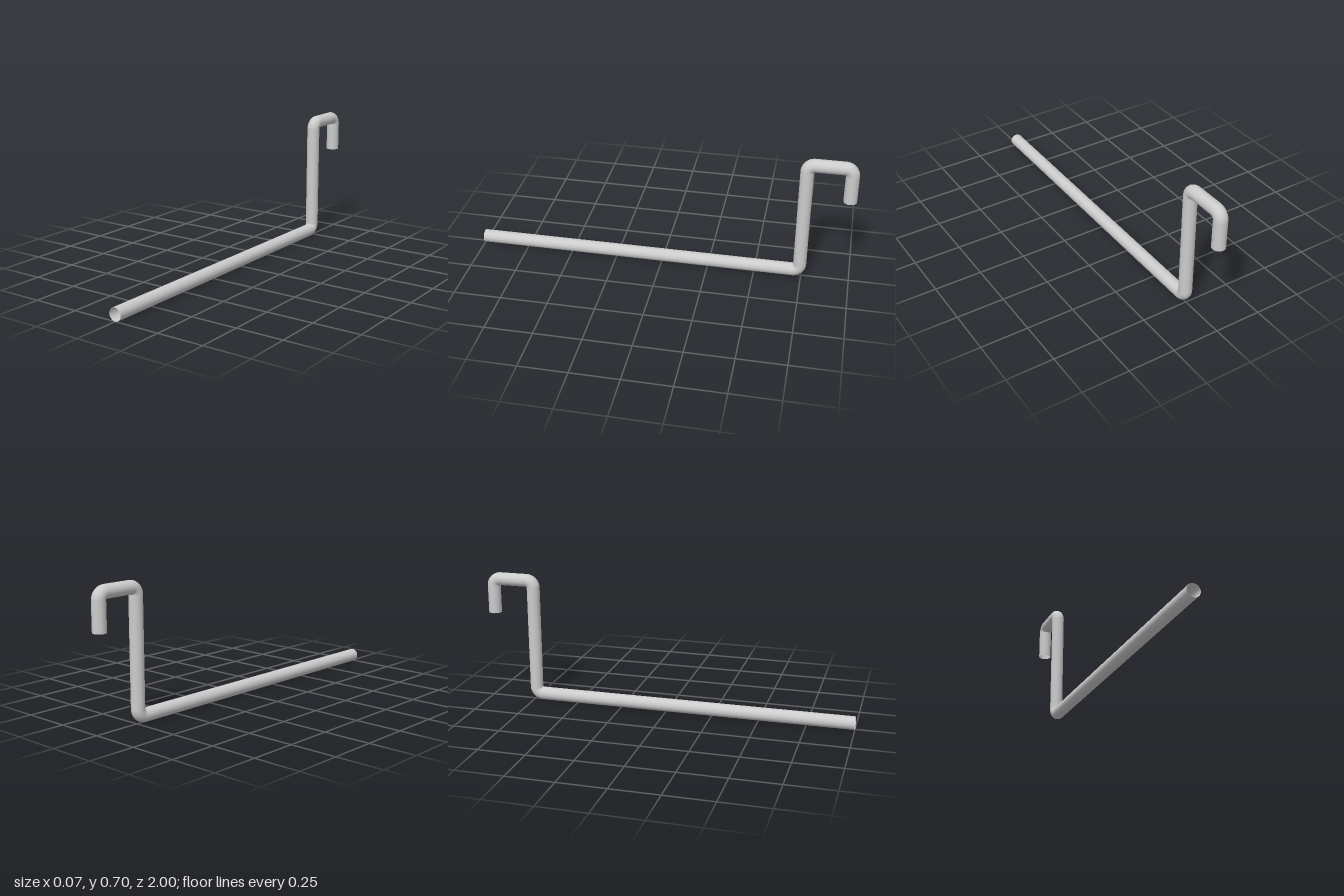
import * as THREE from 'three';

const R = 0.0345;     // pipe radius
const BEND = 0.037;   // centreline radius of the bends
const SIDES = 48;

export function createModel() {
  const group = new THREE.Group();
  const material = new THREE.MeshStandardMaterial({ color: 0xcccccc, side: THREE.DoubleSide });

  const add = (name, geometry, y, z) => {
    const mesh = new THREE.Mesh(geometry, material);
    mesh.name = name;
    mesh.position.set(0, y, z);
    group.add(mesh);
  };

  // Open pipe between two points given as [y, z]
  const straight = (name, [y0, z0], [y1, z1]) => {
    const g = new THREE.CylinderGeometry(R, R, Math.hypot(y1 - y0, z1 - z0), SIDES, 1, true);
    if (z0 !== z1) g.rotateX(Math.PI / 2);
    add(name, g, (y0 + y1) / 2, (z0 + z1) / 2);
  };

  // Quarter bend about a centre; angle 0 starts at the back, 90 degrees is up
  const bend = (name, y, z, start) => {
    const g = new THREE.TorusGeometry(BEND, R, SIDES, 16, Math.PI / 2);
    g.rotateZ(start).rotateY(Math.PI / 2);
    add(name, g, y, z);
  };

  // Centreline levels
  const low = R, high = 0.667, post = -0.74, back = -0.9655, tip = 0.48;

  // Straight runs
  straight('longArm', [low, 1], [low, post + BEND]);
  straight('uprightPost', [low + BEND, post], [high - BEND, post]);
  straight('topBar', [high, post - BEND], [high, back + BEND]);
  straight('hookEnd', [high - BEND, back], [tip, back]);

  // Bends joining them
  bend('lowerBend', low + BEND, post + BEND, -Math.PI / 2);
  bend('upperFrontBend', high - BEND, post - BEND, Math.PI / 2);
  bend('upperBackBend', high - BEND, back + BEND, 0);

  return group;
}
